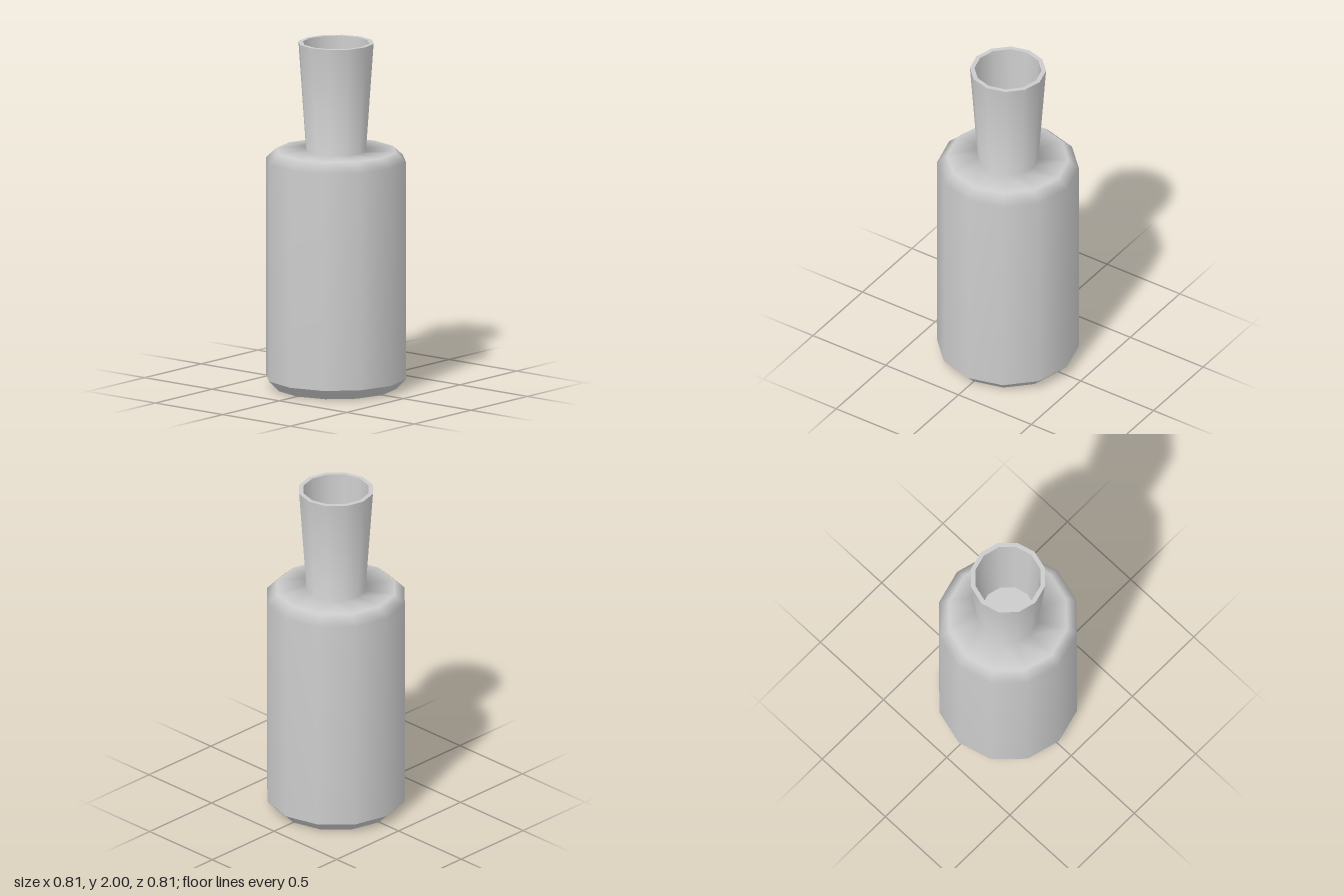
import * as THREE from 'three';

const SIDES = 12;

export function createModel() {
  const bottle = new THREE.Group();
  bottle.name = 'bottle';

  // Revolve a [radius, height] profile, listed so its faces look outward
  const addRing = (name, profile, flatShading = false) => {
    const points = profile.map(([r, y]) => new THREE.Vector2(r, y));
    const material = new THREE.MeshStandardMaterial({ color: 0xcccccc, flatShading });
    const mesh = new THREE.Mesh(new THREE.LatheGeometry(points, SIDES), material);
    mesh.name = name;
    bottle.add(mesh);
  };

  // Flat underside and faceted lower bevel
  addRing('base', [[0, 0], [0.345, 0], [0.404, 0.06]], true);

  // Smooth wall, shoulder and flaring neck
  addRing('bodyAndNeck', [
    [0.404, 0.06], [0.404, 1.32], [0.345, 1.375], [0.173, 1.375], [0.217, 2],
  ]);

  // Flat lip around the mouth
  addRing('rim', [[0.217, 2], [0.191, 2]], true);

  // Inside of the neck and its floor
  addRing('neckInside', [[0.191, 2], [0.157, 1.42]]);
  addRing('neckFloor', [[0.157, 1.42], [0, 1.42]], true);

  return bottle;
}
